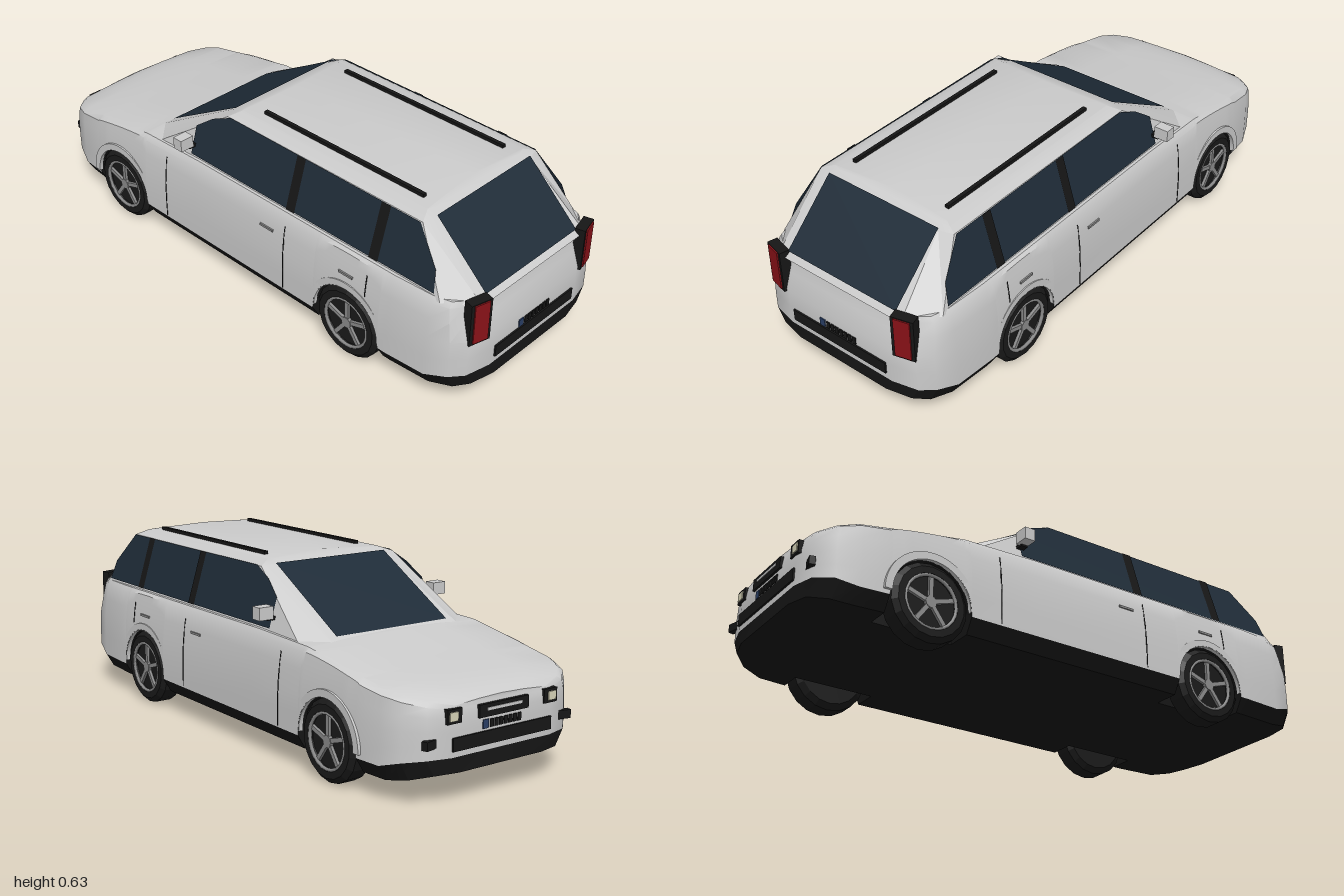
import * as THREE from 'three';
import { toCreasedNormals } from 'three/addons/utils/BufferGeometryUtils.js';

const mat = (color, flatShading = false) =>
  new THREE.MeshStandardMaterial({ color, flatShading, side: THREE.DoubleSide });
const GREY = mat(0xcccccc), BLACK = mat(0x161616), GLASS = mat(0x1f2c38), RED = mat(0x8a1218);
const BLUE = mat(0x2a3f66), LAMP = mat(0xd8d4b8), TYRE = mat(0x1a1a1a, true), RIM = mat(0x8c8c8c);
const ramp = (v, a, b) => THREE.MathUtils.smoothstep(v, a, b);

const WHEELS = [0.525, -0.61], WHEEL_R = 0.135, ARCH_R = 0.142;

// Body stations along z: z, half width, height of the top edge
const STATIONS = [
  [-0.99, 0.2, 0.305], [-0.97, 0.28, 0.32], [-0.92, 0.335, 0.335], [-0.85, 0.362, 0.348],
  [-0.7, 0.375, 0.37], [-0.48, 0.38, 0.405], [-0.2, 0.38, 0.413], [0.7, 0.38, 0.413],
  [0.85, 0.37, 0.412], [0.93, 0.35, 0.41], [0.97, 0.31, 0.41], [0.99, 0.22, 0.408],
];

function station(z) {
  let i = 0;
  while (i < STATIONS.length - 2 && z > STATIONS[i + 1][0]) i++;
  const a = STATIONS[i], b = STATIONS[i + 1], t = (z - a[0]) / (b[0] - a[0]);
  return { w: a[1] + (b[1] - a[1]) * t, top: a[2] + (b[2] - a[2]) * t };
}
const sideX = (y, w) => w * (1 - 0.06 * (Math.max(0, y - 0.2) / 0.21) ** 2);

// Skin a grid of rows of [x, y, z]
function surface(rows, crease = 0.6) {
  const n = rows[0].length, index = [];
  for (let i = 0; i < rows.length - 1; i++) {
    for (let j = 0; j < n - 1; j++) {
      const a = i * n + j, c = a + n;
      index.push(a, a + 1, c, a + 1, c + 1, c);
    }
  }
  const g = new THREE.BufferGeometry();
  g.setAttribute('position', new THREE.Float32BufferAttribute(rows.flat(2), 3));
  g.setIndex(index);
  return toCreasedNormals(g, crease);
}

function add(parent, name, geometry, material, x = 0, y = 0, z = 0) {
  const m = new THREE.Mesh(geometry, material);
  m.name = name;
  m.position.set(x, y, z);
  parent.add(m);
  return m;
}
const box = (parent, name, material, w, h, d, x, y, z) =>
  add(parent, name, new THREE.BoxGeometry(w, h, d), material, x, y, z);

function buildBody(car) {
  const zs = STATIONS.map((s) => s[0]);
  for (const c of WHEELS) {
    for (let k = 0; k <= 12; k++) zs.push(c - ARCH_R * Math.cos((k / 12) * Math.PI));
    zs.push(c - ARCH_R - 0.001, c + ARCH_R + 0.001);
  }
  zs.sort((a, b) => a - b);

  const upper = [], lower = [];
  for (const z of zs) {
    const { w, top } = station(z), az = Math.abs(z);
    let lip = 0.12 + 0.03 * ramp(az, 0.85, 0.96), well = 0;
    for (const c of WHEELS) {
      const d = ARCH_R ** 2 - (z - c) ** 2;
      if (d > -1e-6) well = lip = WHEEL_R + Math.sqrt(Math.max(0, d));
    }
    const lean = (y) => z - Math.sign(z) * 0.035 * ramp(az, 0.85, 0.98) * ramp(y, 0.26, 0.41);
    const mirrored = (half) => [...half, ...half.slice(0, -1).reverse().map(([x, y, q]) => [-x, y, q])];
    // Painted shell from the lower lip over the top
    const half = [0, 0.25, 0.5, 0.75, 0.93].map((t) => {
      const y = lip + (top - lip) * t;
      return [sideX(y, w), y, lean(y)];
    });
    half.push([w * 0.915, top, lean(top)], [w * 0.45, top + 0.007, lean(top)], [0, top + 0.01, lean(top)]);
    upper.push(mirrored(half));
    // Dark sill, wheel wells and floor
    const floor = 0.07 + 0.03 * ramp(az, 0.86, 0.99), y1 = Math.max(floor, well);
    const inner = Math.min(0.26, w - 0.05);
    lower.push(mirrored([[-w, lip, z], [-(w - 0.03), y1, z], [-inner, y1, z], [-inner, floor, z], [0, floor, z]]));
  }
  // Close both ends
  for (const rows of [upper, lower]) {
    const flat = (row) => row.map(([, y, z]) => [0, y, z]);
    rows.unshift(flat(rows[0]));
    rows.push(flat(rows[rows.length - 1]));
  }
  add(car, 'bodyShell', surface(upper), GREY);
  add(car, 'underbody', surface(lower, 0.4), BLACK);
}

// Cabin slopes: windscreen at -z, rear window at +z
const screenZ = (y) => -0.48 + (y - 0.41) * 1.8;
const rearZ = (y) => 0.955 - (y - 0.42) * 1.08;
const cabinX = (y) => 0.335 - (y - 0.42) * 0.306;

function buildCabin(car) {
  const ring = (y, w, zf, zr, cx, cf, cr) => {
    const p = [[w, zr - cr], [w, zf + cf], [w - cx, zf], [cx - w, zf], [-w, zf + cf], [-w, zr - cr], [cx - w, zr], [w - cx, zr]];
    return [...p, p[0]].map(([x, z]) => [x, y, z]);
  };
  add(car, 'cabin', surface([
    ring(0.4, cabinX(0.4), screenZ(0.4), rearZ(0.4), 0.08, 0.08, 0.1),
    ring(0.6, cabinX(0.6), screenZ(0.6), rearZ(0.6), 0.05, 0.02, 0.015),
    ring(0.617, 0.235, -0.1, 0.735, 0.03, 0.01, 0.01),
    ring(0.627, 0, -0.07, 0.71, 0, 0, 0),
  ], 0.4), GREY);

  const pane = (name, s, zAt) => add(car, name, surface([0.42, 0.608].map((y) =>
    [[-s * 0.23, y, zAt(y) + s * 0.007], [s * 0.23, y, zAt(y) + s * 0.007]])), GLASS);
  pane('windscreen', -1, screenZ);
  pane('rearWindow', 1, rearZ);

  // Flat outlines in (z, y) laid on the sloping cabin side
  const onSide = (name, s, pts, lift, material) => {
    const g = new THREE.ShapeGeometry(new THREE.Shape(pts.map(([z, y]) => new THREE.Vector2(-s * z, y))));
    const p = g.attributes.position;
    for (let i = 0; i < p.count; i++) p.setXYZ(i, s * (cabinX(p.getY(i)) + lift), p.getY(i), -s * p.getX(i));
    g.computeVertexNormals();
    add(car, name, g, material);
  };
  for (const s of [1, -1]) {
    onSide('sideWindow', s, [[0.85, 0.42], [0.835, 0.49], [0.74, 0.6], [-0.1, 0.603], [-0.18, 0.57], [-0.25, 0.52], [-0.25, 0.42]], 0.004, GLASS);
    for (const z of [0.605, 0.24]) {
      onSide('doorPillar', s, [[z - 0.019, 0.42], [z + 0.019, 0.42], [z + 0.019, 0.602], [z - 0.019, 0.602]], 0.007, BLACK);
    }
    box(car, 'roofRail', BLACK, 0.014, 0.014, 0.7, s * 0.195, 0.623, 0.33);
    box(car, 'mirror', GREY, 0.054, 0.043, 0.04, s * 0.367, 0.477, -0.255);
    box(car, 'mirrorStalk', BLACK, 0.035, 0.012, 0.025, s * 0.337, 0.455, -0.25);
  }
}

function buildWheel() {
  const wheel = new THREE.Group();
  wheel.name = 'wheel';
  const profile = [[0, -0.045], [0.115, -0.045], [0.135, -0.03], [0.135, 0.03], [0.118, 0.045], [0.095, 0.045], [0.09, 0.03], [0, 0.03]];
  const tyre = new THREE.LatheGeometry(profile.map(([r, y]) => new THREE.Vector2(r, y)), 18).rotateX(Math.PI / 2);
  add(wheel, 'tyre', tyre, TYRE);
  add(wheel, 'rim', new THREE.TorusGeometry(0.09, 0.006, 6, 24), RIM, 0, 0, 0.041);
  add(wheel, 'hub', new THREE.CylinderGeometry(0.02, 0.02, 0.012, 12).rotateX(Math.PI / 2), RIM, 0, 0, 0.037);
  for (let k = 0; k < 5; k++) {
    const spoke = box(wheel, 'spoke', RIM, 0.015, 0.085, 0.01, 0, 0, 0.036);
    spoke.geometry.translate(0, 0.045, 0);
    spoke.rotation.z = (k / 5) * Math.PI * 2;
  }
  return wheel;
}

function buildSides(car) {
  const arch = new THREE.Shape();
  arch.absarc(0, 0, 0.165, 0, Math.PI, false);
  arch.absarc(0, 0, 0.139, Math.PI, 0, true);
  const flare = new THREE.ExtrudeGeometry(arch, { depth: 0.014, bevelEnabled: false, curveSegments: 20 });
  flare.rotateY(Math.PI / 2);
  for (const s of [1, -1]) {
    for (const z of WHEELS) {
      const wheel = buildWheel();
      wheel.position.set(s * 0.33, WHEEL_R, z);
      wheel.rotation.y = s * Math.PI / 2;
      car.add(wheel);
      add(car, 'archFlare', flare, GREY, s > 0 ? 0.365 : -0.379, WHEEL_R, z);
    }
    // Door gaps follow the curve of the side
    for (const [z, y0] of [[0.605, 0.29], [0.24, 0.125], [-0.355, 0.125]]) {
      const pts = [0, 0.33, 0.66, 1].map((t) => {
        const y = y0 + (0.37 - y0) * t;
        return new THREE.Vector3(s * sideX(y, 0.379), y, z);
      });
      add(car, 'doorGap', new THREE.TubeGeometry(new THREE.CatmullRomCurve3(pts), 6, 0.003, 4), BLACK);
    }
    for (const z of [0.52, 0.16]) box(car, 'doorHandle', RIM, 0.008, 0.008, 0.06, s * 0.372, 0.33, z);
  }
}

function buildEnds(car) {
  for (const s of [1, -1]) {
    // Tail lamp turned around the rear corner
    const tail = new THREE.Group();
    tail.name = 'tailLamp';
    tail.position.set(s * 0.269, 0.347, 0.967);
    tail.rotation.y = s * 0.25;
    box(tail, 'lampHousing', BLACK, 0.078, 0.155, 0.035, 0, 0, 0);
    box(tail, 'lampLens', RED, 0.056, 0.145, 0.012, 0, 0.002, 0.016);
    car.add(tail);
    // Nose lamps
    box(car, 'headlampHousing', BLACK, 0.055, 0.045, 0.025, s * 0.195, 0.277, -0.982);
    box(car, 'headlamp', LAMP, 0.032, 0.028, 0.01, s * 0.2, 0.277, -0.993);
    const fog = box(car, 'fogLamp', BLACK, 0.05, 0.028, 0.02, s * 0.272, 0.2, -0.973);
    fog.rotation.y = s * 0.25;
  }
  box(car, 'grille', BLACK, 0.2, 0.04, 0.02, 0, 0.275, -0.987);
  box(car, 'grilleBar', GREY, 0.14, 0.009, 0.01, 0, 0.279, -0.994);
  box(car, 'frontIntake', BLACK, 0.4, 0.042, 0.02, 0, 0.19, -0.986);
  box(car, 'rearBumperTrim', BLACK, 0.4, 0.042, 0.02, 0, 0.195, 0.986);
  // Plate strip of plain blocks at each end
  for (const s of [1, -1]) {
    box(car, 'plateEnd', BLUE, 0.022, 0.028, 0.008, -s * 0.07, 0.232, s * 0.989);
    for (let k = 0; k < 7; k++) {
      box(car, 'plateBlock', BLACK, 0.014, 0.025, 0.008, s * (-0.045 + k * 0.0187), 0.232, s * 0.989);
    }
  }
}

export function createModel() {
  const car = new THREE.Group();
  car.name = 'estateCar';
  buildBody(car);
  buildCabin(car);
  buildSides(car);
  buildEnds(car);
  return car;
}
